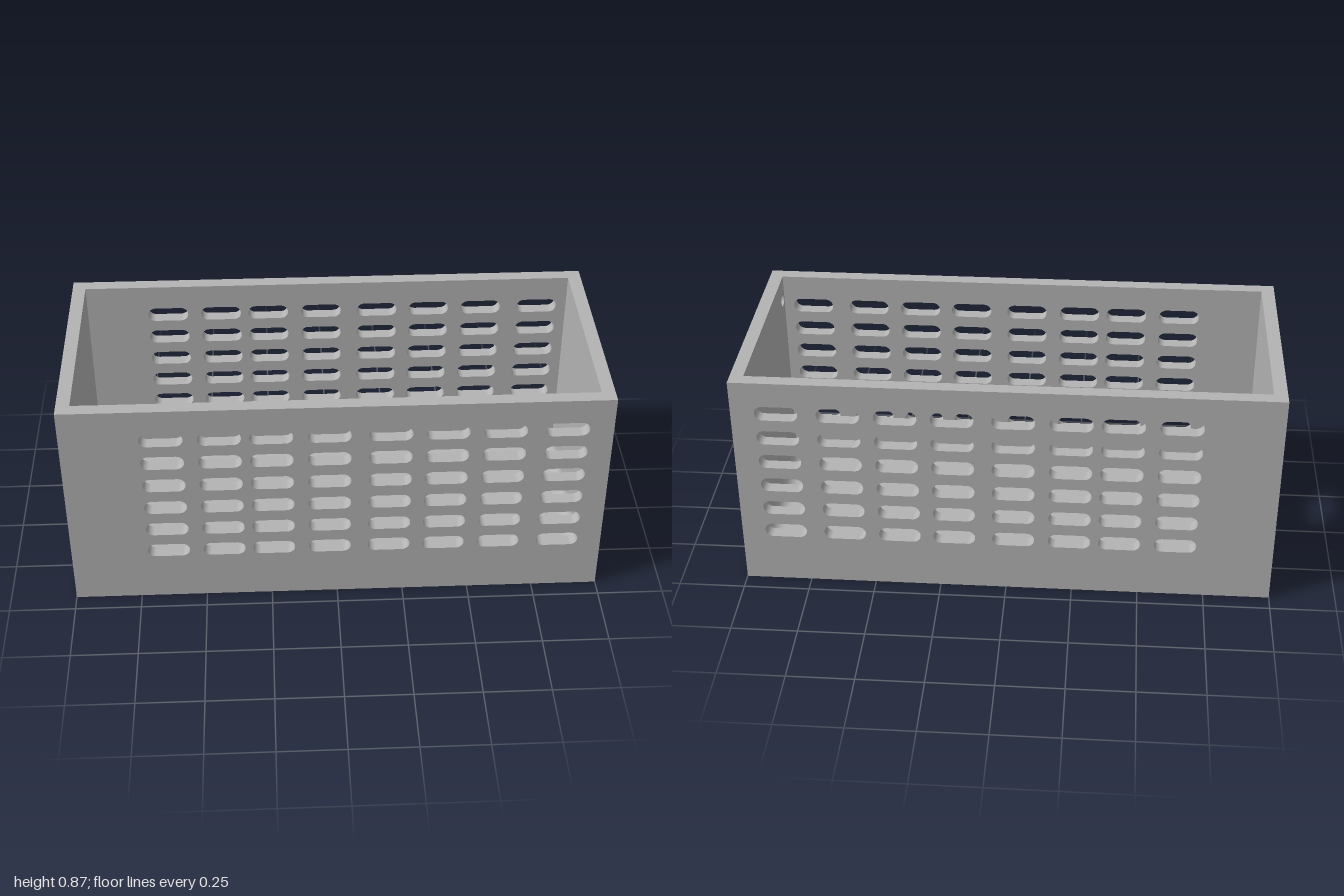
import * as THREE from 'three';
import { mergeGeometries } from 'three/addons/utils/BufferGeometryUtils.js';

const HALF_X = 1, HALF_Z = 0.435, HEIGHT = 0.873;
const WALL = 0.05, FLOOR = 0.05, COVE = 0.05;

// Counter-clockwise outline of a rounded rectangle (slot or circle when r is half a side)
function roundedOutline(cx, cy, w, h, r, steps = 8) {
  const pts = [];
  [[1, -1], [1, 1], [-1, 1], [-1, -1]].forEach(([sx, sy], c) => {
    for (let i = 0; i <= steps; i++) {
      const a = (c - 1 + i / steps) * Math.PI / 2;
      const p = new THREE.Vector2(
        cx + sx * (w / 2 - r) + r * Math.cos(a),
        cy + sy * (h / 2 - r) + r * Math.sin(a));
      if (!pts.some(q => q.distanceTo(p) < 1e-5)) pts.push(p);
    }
  });
  return pts;
}

function rectangle(x, y0, y1) {
  return [[-x, y0], [x, y0], [x, y1], [-x, y1]].map(p => new THREE.Vector2(...p));
}

// Flat sheet with holes, facing +z or turned to face -z
function sheet(outline, holes, z, flip = false) {
  const shape = new THREE.Shape(outline);
  shape.holes = holes.map(h => new THREE.Path(h));
  const g = new THREE.ShapeGeometry(shape);
  if (flip) {
    g.index.array.reverse();
    g.computeVertexNormals();
  }
  return g.translate(0, 0, z);
}

function indexed(positions, index) {
  const g = new THREE.BufferGeometry();
  g.setAttribute('position', new THREE.Float32BufferAttribute(positions, 3));
  g.setAttribute('uv', new THREE.Float32BufferAttribute(new Array(positions.length / 3 * 2).fill(0), 2));
  g.setIndex(index);
  g.computeVertexNormals();
  return g;
}

// Inside surface of a hole running through the wall
function holeLining(pts, zOuter) {
  const pos = [], idx = [], n = pts.length;
  pts.forEach((p, i) => {
    pos.push(p.x, p.y, zOuter, p.x, p.y, zOuter - WALL);
    const a = 2 * i, b = 2 * ((i + 1) % n);
    idx.push(a, b, b + 1, a, b + 1, a + 1);
  });
  return indexed(pos, idx);
}

// Mitred concave fillet between the wall and the floor
function cove(halfW, halfD, steps = 8) {
  const pos = [], idx = [];
  for (let i = 0; i <= steps; i++) {
    const a = i / steps * Math.PI / 2;
    const inset = WALL + COVE * (1 - Math.cos(a));
    const y = FLOOR + COVE * (1 - Math.sin(a));
    pos.push(-(halfW - inset), y, halfD - inset, halfW - inset, y, halfD - inset);
    if (i < steps) {
      const k = 2 * i;
      idx.push(k, k + 1, k + 2, k + 1, k + 3, k + 2);
    }
  }
  return indexed(pos, idx);
}

export function createModel() {
  const group = new THREE.Group();
  group.name = 'ventilatedBox';
  const grey = new THREE.MeshStandardMaterial({ color: 0xb3b3b3 });
  grey.name = 'grey';

  const add = (name, geometry, parent = group) => {
    const mesh = new THREE.Mesh(geometry, grey);
    mesh.name = name;
    parent.add(mesh);
    return mesh;
  };

  // Each wall is made facing +z, then turned into place
  function addWall(name, yaw, halfW, halfD, holes) {
    const wall = new THREE.Group();
    wall.name = name;
    wall.rotation.y = yaw;
    add(name + 'Panel', mergeGeometries([
      sheet(rectangle(halfW, 0, HEIGHT), holes, halfD),
      sheet(rectangle(halfW - WALL, FLOOR + COVE, HEIGHT), holes, halfD - WALL, true),
      ...holes.map(h => holeLining(h, halfD)),
    ]), wall);
    add(name + 'Cove', cove(halfW, halfD), wall);
    group.add(wall);
  }

  // Grid of ventilation slots, lined up through the front and back walls
  const columns = [-0.634, -0.425, -0.238, -0.028, 0.194, 0.4, 0.608, 0.833];
  const slots = side => {
    const holes = [];
    for (const x of columns)
      for (let row = 0; row < 6; row++)
        holes.push(roundedOutline(side * x, 0.226 + row * 0.104, 0.158, 0.058, 0.029));
    return holes;
  };
  addWall('frontWall', 0, HALF_X, HALF_Z, slots(1));
  addWall('backWall', Math.PI, HALF_X, HALF_Z, slots(-1));

  // Left wall with a small round hole, right wall with a rounded opening
  addWall('leftWall', Math.PI / 2, HALF_Z, HALF_X,
    [roundedOutline(-0.352, 0.785, 0.052, 0.052, 0.026)]);
  addWall('rightWall', -Math.PI / 2, HALF_Z, HALF_X,
    [roundedOutline(0.028, 0.367, 0.205, 0.235, 0.06)]);

  // Top rim, inner floor and underside
  const outer = [[-1, -1], [1, -1], [1, 1], [-1, 1]];
  const plan = inset => outer.map(([x, z]) =>
    new THREE.Vector2(x * (HALF_X - inset), z * (HALF_Z - inset)));
  add('rim', sheet(plan(0), [plan(WALL)], HEIGHT).rotateX(-Math.PI / 2));
  add('floor', sheet(plan(WALL + COVE), [], FLOOR).rotateX(-Math.PI / 2));
  add('underside', sheet(plan(0), [], 0, true).rotateX(-Math.PI / 2));

  return group;
}
